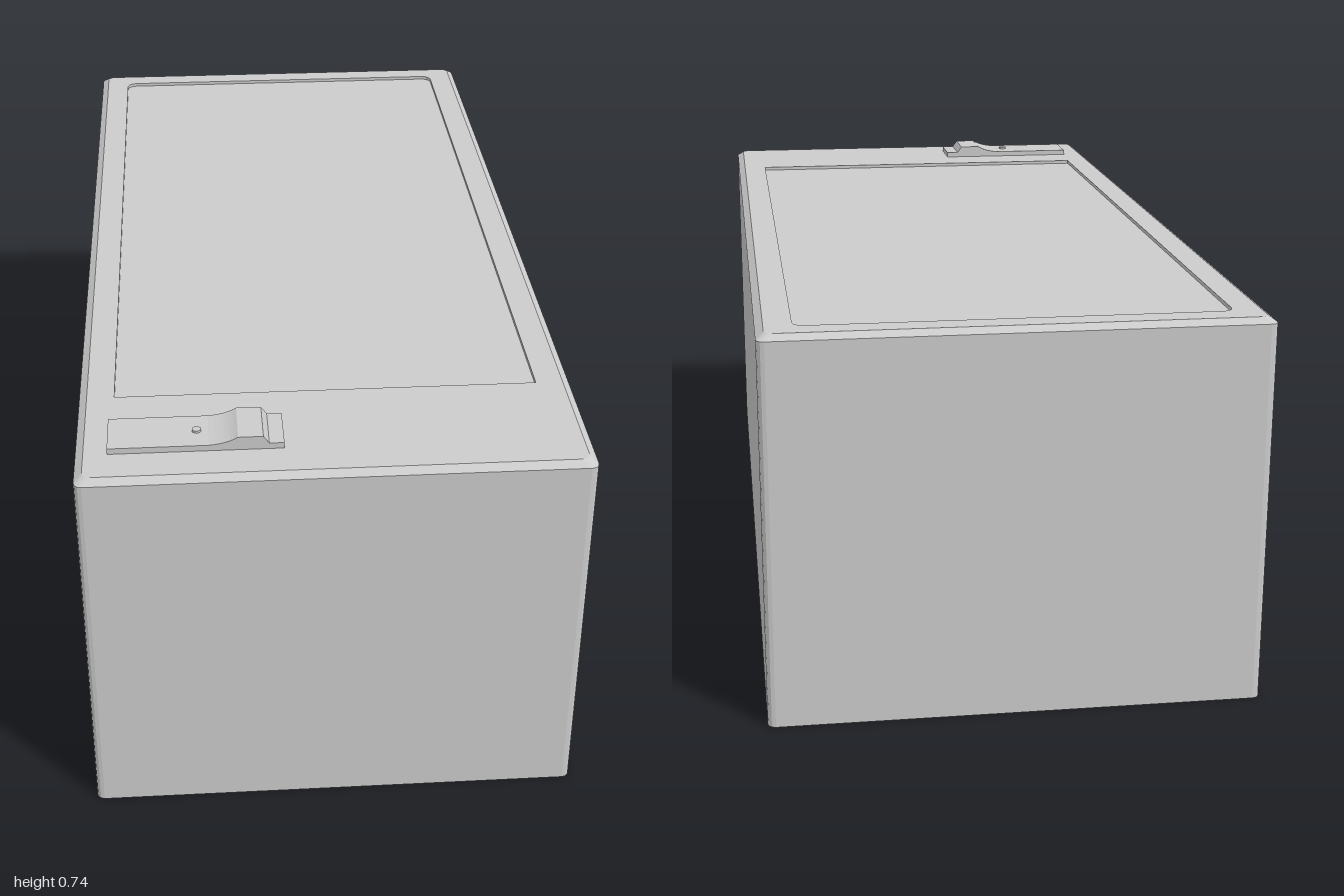
import * as THREE from 'three';

const A = 0.914, B = 0.443, R = 0.014;   // half length, half width, corner radius
const TOP = 0.71, RIM = 0.70, FLOOR = 0.703;
const material = new THREE.MeshStandardMaterial({ color: 0xcccccc, side: THREE.DoubleSide });

// Rounded rectangle at height y; starts and ends on the +z side
function ring(u0, u1, v0, v1, rPlus, rMinus, y) {
  const corners = [[u1, v1, 90, rPlus, -1, -1], [u1, v0, 0, rPlus, -1, 1],
    [u0, v0, -90, rMinus, 1, 1], [u0, v1, -180, rMinus, 1, -1]];
  const points = [];
  for (const [u, v, start, r, su, sv] of corners) {
    for (let i = 0; i <= 3; i++) {
      const t = THREE.MathUtils.degToRad(start - i * 30);
      points.push(new THREE.Vector3(u + su * r + r * Math.cos(t), y, v + sv * r + r * Math.sin(t)));
    }
  }
  return points;
}

// Flat-shaded skin between successive rings of points
function loft(rings, closed = true) {
  const pos = [];
  for (let k = 0; k + 1 < rings.length; k++) {
    const lo = rings[k], hi = rings[k + 1], n = lo.length;
    for (let i = 0; i < (closed ? n : n - 1); i++) {
      const j = (i + 1) % n;
      for (const p of [lo[i], lo[j], hi[j], lo[i], hi[j], hi[i]]) pos.push(p.x, p.y, p.z);
    }
  }
  const g = new THREE.BufferGeometry();
  g.setAttribute('position', new THREE.Float32BufferAttribute(pos, 3));
  g.computeVertexNormals();
  return g;
}

// Horizontal face from a ring, optionally with a ring-shaped hole
function flat(outline, hole) {
  const to2 = (pts) => pts.map((p) => new THREE.Vector2(p.x, -p.z));
  const shape = new THREE.Shape(to2(outline));
  if (hole) shape.holes.push(new THREE.Path(to2(hole)));
  return new THREE.ShapeGeometry(shape).rotateX(-Math.PI / 2).translate(0, outline[0].y, 0);
}

// Upright rectangle corners facing +z
function rect(u0, u1, y0, y1, z) {
  return [[u0, y0], [u1, y0], [u1, y1], [u0, y1]].map(([x, y]) => new THREE.Vector3(x, y, z));
}

export function createModel() {
  const model = new THREE.Group();
  model.name = 'box';
  const body = new THREE.Group();
  body.name = 'body';
  body.rotation.y = -THREE.MathUtils.degToRad(33.4);
  model.add(body);
  const add = (name, geometry) => {
    const mesh = new THREE.Mesh(geometry, material);
    mesh.name = name;
    body.add(mesh);
    return mesh;
  };

  // Side and back walls, open underneath
  const base = ring(-A, A, -B, B, R, R, 0);
  const shoulder = ring(-A, A, -B, B, R, R, RIM);
  add('walls', loft([base, shoulder], false));

  // Front wall with the window opening
  const opening = rect(0.186, 0.713, 0.18, 0.435, B);
  const wall = new THREE.Shape(rect(-A + R, A - R, 0, RIM, B).map((p) => new THREE.Vector2(p.x, p.y)));
  wall.holes.push(new THREE.Path(opening.map((p) => new THREE.Vector2(p.x, p.y))));
  add('frontWall', new THREE.ShapeGeometry(wall).translate(0, 0, B));

  // Tapered pocket behind the opening
  const back = rect(0.256, 0.643, 0.19, 0.425, B - 0.275);
  add('pocketSides', loft([opening, back]));
  add('pocketBack', new THREE.PlaneGeometry(0.387, 0.235).translate(0.4495, 0.3075, B - 0.275));

  // Bevelled rim, top face and sunken panel
  const e = 0.014;
  const crown = ring(-A + e, A - e, -B + e, B - e, R, R, TOP);
  const panelAt = (y) => ring(-0.855, 0.647, -0.38, 0.38, 0.002, 0.02, y);
  add('topBevel', loft([shoulder, crown]));
  add('topFace', flat(crown, panelAt(TOP)));
  add('panelStep', loft([panelAt(TOP), panelAt(FLOOR)]));
  add('topPanel', flat(panelAt(FLOOR)));

  // Latch: thin plate with a raised thumb grip
  const latch = new THREE.Shape();
  latch.moveTo(0.086, TOP - 0.005);
  latch.lineTo(0.388, TOP - 0.005);
  latch.lineTo(0.388, 0.721);
  latch.lineTo(0.215, 0.721);
  latch.quadraticCurveTo(0.185, 0.723, 0.165, 0.735);
  latch.lineTo(0.122, 0.735);
  latch.lineTo(0.112, 0.721);
  latch.lineTo(0.086, 0.721);
  latch.closePath();
  add('latch', new THREE.ExtrudeGeometry(latch, { depth: 0.095, bevelEnabled: false, curveSegments: 6 })
    .rotateY(-Math.PI / 2).translate(0.832, 0, 0));
  add('latchPin', new THREE.CylinderGeometry(0.008, 0.008, 0.008, 16).translate(0.785, 0.721, 0.235));

  return model;
}
